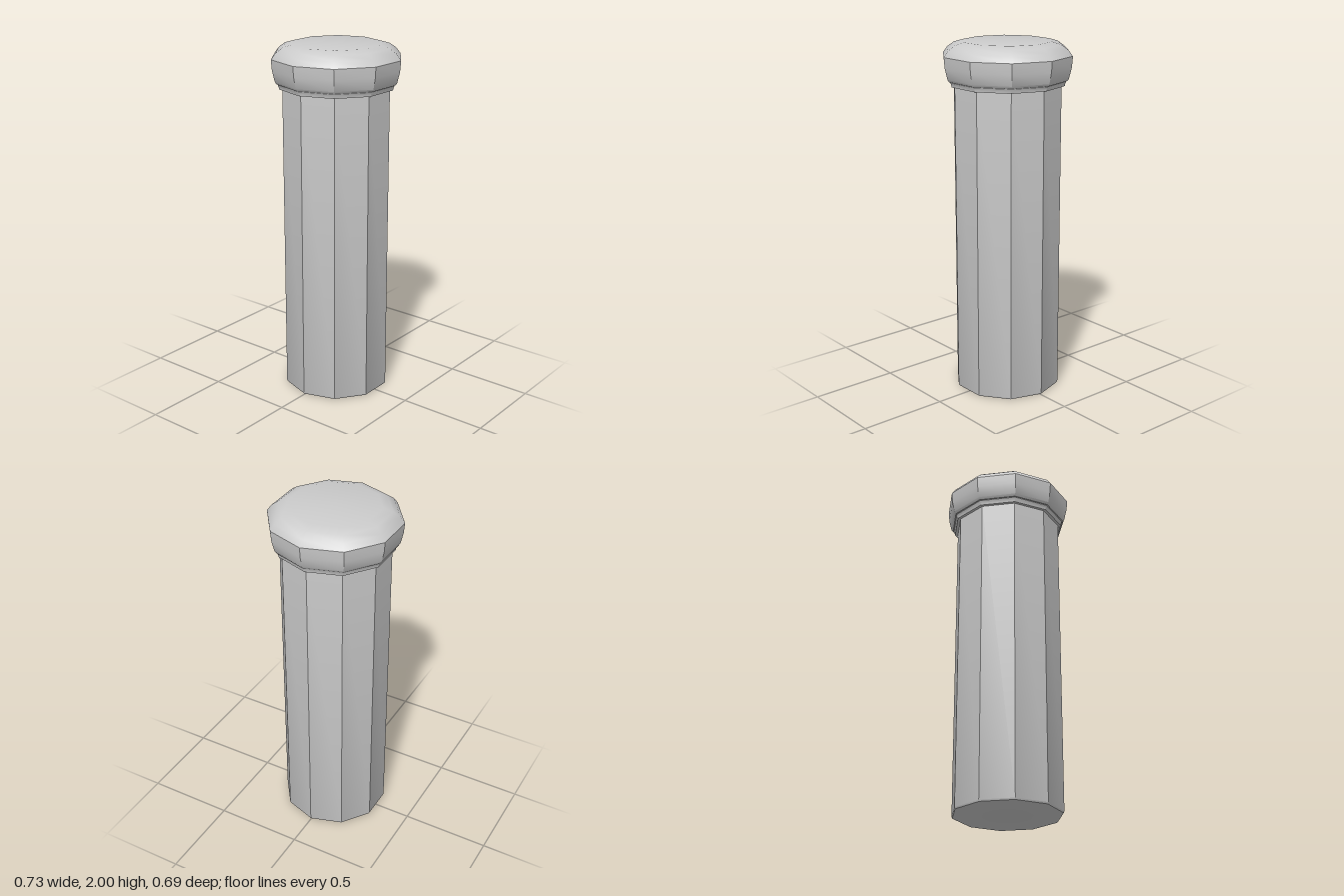
import * as THREE from 'three';
import { toCreasedNormals } from 'three/addons/utils/BufferGeometryUtils.js';

const SIDES = 10;
const material = new THREE.MeshStandardMaterial({ color: 0xcccccc });

// Ten-sided turned part from a profile of [radius, height], with a corner on the x axis
function turned(name, profile) {
  const points = profile.map(([r, y]) => new THREE.Vector2(r, y));
  const lathe = new THREE.LatheGeometry(points, SIDES, Math.PI / 2);
  const mesh = new THREE.Mesh(toCreasedNormals(lathe, 0.6), material);
  mesh.name = name;
  return mesh;
}

export function createModel() {
  const group = new THREE.Group();
  group.name = 'pegWithCap';

  // Straight shaft with a tiny bevel at the foot
  group.add(turned('shaft', [[0, 0], [0.293, 0], [0.301, 0.004], [0.305, 0.013], [0.305, 1.77]]));

  // Thin collar under the cap
  group.add(turned('collar', [[0.3, 1.762], [0.322, 1.762], [0.325, 1.775], [0.33, 1.787], [0.325, 1.8]]));

  // Cap: flared rim, then a soft shoulder up to the flat top
  group.add(turned('cap', [
    [0.32, 1.787], [0.336, 1.79], [0.345, 1.803], [0.36, 1.865], [0.365, 1.925],
    [0.34, 1.958], [0.302, 1.985], [0.25, 2], [0, 2],
  ]));

  return group;
}
